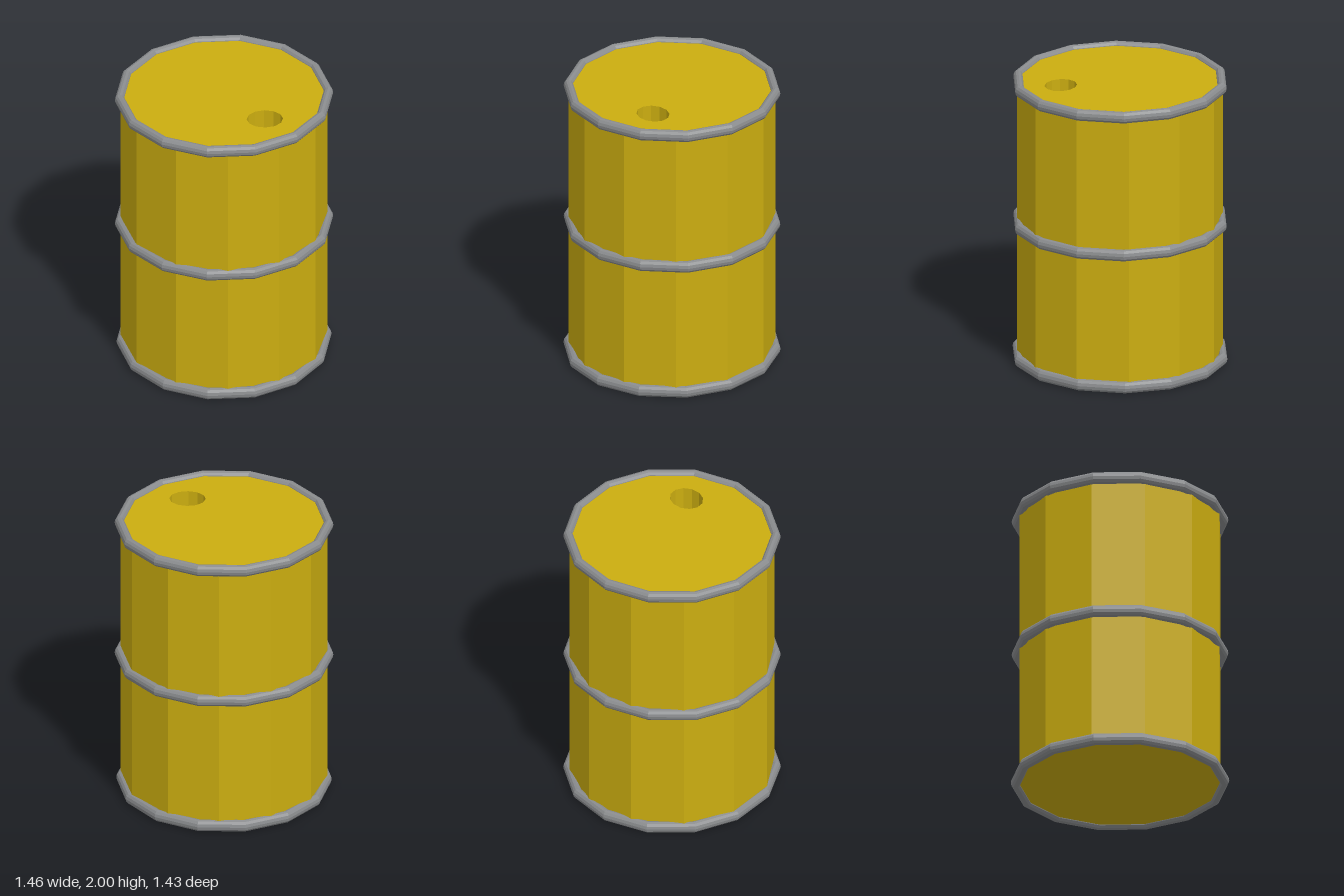
import * as THREE from 'three';

const SIDES = 12, RADIUS = 0.69, LID_Y = 1.975, BASE_Y = 0.025;
const HOLE = { x: 0.26, z: 0.315, rx: 0.122, rz: 0.106, depth: 0.2 };

// Corner points of a regular polygon, stretched to an ellipse
function polygon(cx, cy, rx, ry) {
  return Array.from({ length: SIDES }, (_, i) => {
    const a = (i / SIDES) * Math.PI * 2;
    return new THREE.Vector2(cx + rx * Math.cos(a), cy + ry * Math.sin(a));
  });
}

export function createModel() {
  const group = new THREE.Group();
  const paint = new THREE.MeshStandardMaterial({ color: 0xcbad10, flatShading: true });
  const inside = new THREE.MeshStandardMaterial({ color: 0xcbad10, flatShading: true, side: THREE.DoubleSide });
  const steel = new THREE.MeshStandardMaterial({ color: 0x8a8c8e, flatShading: true });

  function add(name, geometry, material, x = 0, y = 0, z = 0) {
    const mesh = new THREE.Mesh(geometry, material);
    mesh.name = name;
    mesh.position.set(x, y, z);
    group.add(mesh);
    return mesh;
  }

  // Barrel wall and base
  const height = LID_Y - BASE_Y;
  add('wall', new THREE.CylinderGeometry(RADIUS, RADIUS, height, SIDES, 1, true), paint, 0, BASE_Y + height / 2);
  add('base', new THREE.CircleGeometry(RADIUS, SIDES).rotateX(Math.PI / 2), paint, 0, BASE_Y);

  // Lid with the filling hole cut out
  const lid = new THREE.Shape(polygon(0, 0, RADIUS, RADIUS));
  lid.holes.push(new THREE.Path(polygon(HOLE.x, -HOLE.z, HOLE.rx, HOLE.rz)));
  add('lid', new THREE.ShapeGeometry(lid).rotateX(-Math.PI / 2), paint, 0, LID_Y);

  // Filling hole: sunken wall and floor
  const holeWall = new THREE.CylinderGeometry(1, 1, HOLE.depth, SIDES, 1, true).scale(HOLE.rx, 1, HOLE.rz);
  add('holeWall', holeWall, inside, HOLE.x, LID_Y - HOLE.depth / 2, HOLE.z);
  const holeFloor = new THREE.CircleGeometry(1, SIDES).rotateX(-Math.PI / 2).scale(HOLE.rx, 1, HOLE.rz);
  add('holeFloor', holeFloor, paint, HOLE.x, LID_Y - HOLE.depth, HOLE.z);

  // Hoops: name, height, stretch in x and z
  const hoops = [
    ['bottomHoop', 0.041, 0.985, 1],
    ['middleHoop', 0.98, 1, 0.99],
    ['topHoop', 1.959, 1, 0.99],
  ];
  for (const [name, y, sx, sz] of hoops) {
    const hoop = new THREE.TorusGeometry(0.697, 0.033, 12, 14)
      .scale(1, 1, 0.041 / 0.033)
      .rotateX(Math.PI / 2)
      .rotateY(0.028)
      .scale(sx, 1, sz);
    add(name, hoop, steel, 0, y);
  }
  return group;
}
